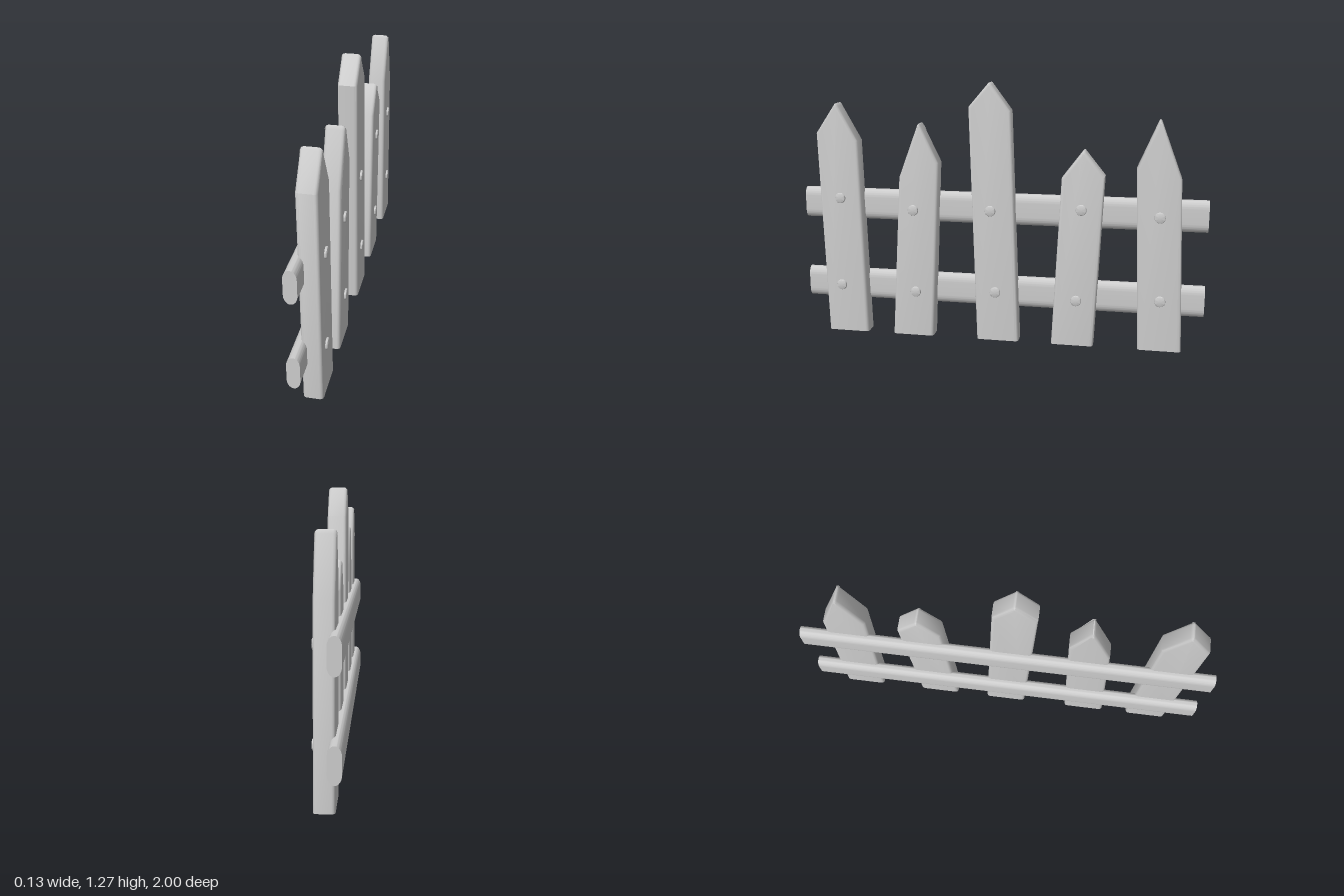
import * as THREE from 'three';
import { toCreasedNormals } from 'three/addons/utils/BufferGeometryUtils.js';

const paint = new THREE.MeshStandardMaterial({ color: 0xcccccc, side: THREE.DoubleSide });
paint.name = 'pale grey';

// Each picket: base z pair, left shoulder, peak, right shoulder, nails, as [z, y]
const PICKETS = [
  { base: [0.877, 0.668], left: [0.904, 1.016], peak: [0.8, 1.168], right: [0.695, 0.98], nails: [[0.79, 0.695], [0.8, 0.246]] },
  { base: [0.535, 0.326], left: [0.487, 0.807], peak: [0.385, 1.08], right: [0.289, 0.882], nails: [[0.417, 0.647], [0.412, 0.23]] },
  { base: [0.102, -0.107], left: [0.139, 1.155], peak: [0.037, 1.275], right: [-0.064, 1.139], nails: [[0.032, 0.658], [0.008, 0.25]] },
  { base: [-0.27, -0.476], left: [-0.31, 0.829], peak: [-0.412, 0.965], right: [-0.513, 0.84], nails: [[-0.406, 0.68], [-0.39, 0.23]] },
  { base: [-0.69, -0.898], left: [-0.658, 0.882], peak: [-0.759, 1.12], right: [-0.866, 0.84], nails: [[-0.773, 0.658], [-0.789, 0.25]] },
];

const RAILS = [0.233, 0.653];

// Picket peak: the point is blunted with a small curve
function picketShape({ base, left, peak, right }) {
  const p = new THREE.Vector2(...peak);
  const toward = (q) => p.clone().lerp(new THREE.Vector2(...q), 0.1);
  const a = toward(right);
  const b = toward(left);
  const shape = new THREE.Shape();
  shape.moveTo(base[0], 0);
  shape.lineTo(base[1], 0);
  shape.lineTo(...right);
  shape.lineTo(a.x, a.y);
  shape.quadraticCurveTo(p.x, p.y + 0.006, b.x, b.y);
  shape.lineTo(...left);
  shape.closePath();
  return shape;
}

// Rounded plank with its foot flattened to the ground and left open
function picketGeometry(spec) {
  const bevel = 0.016;
  const geo = new THREE.ExtrudeGeometry(picketShape(spec), {
    depth: 0.09 - 2 * bevel, bevelThickness: bevel, bevelSize: bevel,
    bevelOffset: -bevel, bevelSegments: 3, curveSegments: 4,
  });
  const pos = geo.attributes.position;
  for (let i = 0; i < pos.count; i++) if (pos.getY(i) < 0.03) pos.setY(i, 0);

  const kept = [];
  for (let i = 0; i < pos.count; i += 3) {
    if (pos.getY(i) + pos.getY(i + 1) + pos.getY(i + 2) < 1e-6) continue;
    for (let k = i; k < i + 3; k++) kept.push(pos.getX(k), pos.getY(k), pos.getZ(k));
  }
  const open = new THREE.BufferGeometry();
  open.setAttribute('position', new THREE.Float32BufferAttribute(kept, 3));
  open.rotateY(-Math.PI / 2);
  open.translate(0.055 - bevel, 0, 0);
  return toCreasedNormals(open, 0.65);
}

// Flat-sided rail with rounded top and bottom
function railGeometry() {
  const w = 0.029, straight = 0.036, cap = 0.042;
  const shape = new THREE.Shape();
  shape.moveTo(w, -straight);
  shape.lineTo(w, straight);
  shape.absellipse(0, straight, w, cap, 0, Math.PI, false, 0);
  shape.lineTo(-w, -straight);
  shape.absellipse(0, -straight, w, cap, Math.PI, 2 * Math.PI, false, 0);
  const geo = new THREE.ExtrudeGeometry(shape, { depth: 2, bevelEnabled: false, curveSegments: 12 });
  geo.translate(0, 0, -1);
  return toCreasedNormals(geo, 0.65);
}

// Nail head with a softened rim, pointing along +x
function nailGeometry() {
  const profile = [[0.026, 0], [0.026, 0.014], [0.024, 0.018], [0.019, 0.02], [0, 0.02]]
    .map(([r, h]) => new THREE.Vector2(r, h));
  const geo = new THREE.LatheGeometry(profile, 20);
  geo.rotateZ(-Math.PI / 2);
  return toCreasedNormals(geo, 0.7);
}

export function createModel() {
  const fence = new THREE.Group();
  fence.name = 'picketFence';

  const add = (geo, name, x = 0, y = 0, z = 0) => {
    const mesh = new THREE.Mesh(geo, paint);
    mesh.name = name;
    mesh.position.set(x, y, z);
    fence.add(mesh);
  };

  const rail = railGeometry();
  RAILS.forEach((y, i) => add(rail, i ? 'upperRail' : 'lowerRail', -0.038, y));

  const nail = nailGeometry();
  PICKETS.forEach((spec, i) => {
    add(picketGeometry(spec), `picket${i + 1}`);
    spec.nails.forEach(([z, y], k) => add(nail, `picket${i + 1}${k ? 'Lower' : 'Upper'}Nail`, 0.046, y, z));
  });
  return fence;
}
